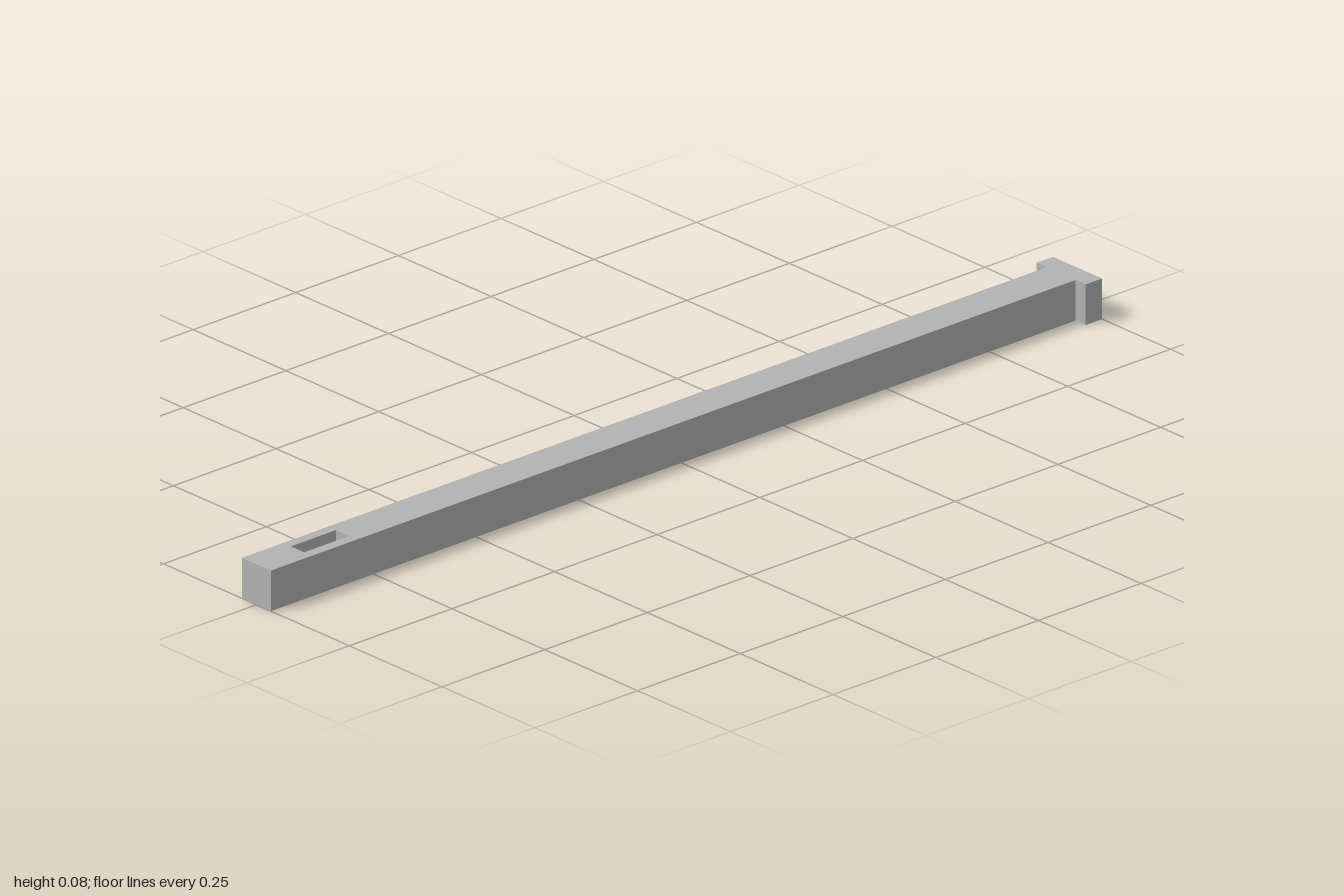
import * as THREE from 'three';

const HEIGHT = 0.08;
const BAR = 0.039;       // half width of the bar
const HEAD = 0.066;      // half width of the head
const HEAD_Z = -0.96;    // where the head meets the bar
const SLOT = { half: 0.018, back: 0.79, front: 0.9 };

export function createModel() {
  const group = new THREE.Group();
  group.name = 'slottedPin';

  const grey = new THREE.MeshStandardMaterial({ color: 0xb3b3b3 });
  grey.name = 'grey';

  // plan points are [x, z]; shape y becomes -z once laid flat
  const plan = (pts) => pts.map(([x, z]) => new THREE.Vector2(x, -z));

  // T-shaped outline: long bar with a wider head at the back
  const outline = new THREE.Shape(plan([
    [-BAR, 1], [BAR, 1], [BAR, HEAD_Z], [HEAD, HEAD_Z],
    [HEAD, -1], [-HEAD, -1], [-HEAD, HEAD_Z], [-BAR, HEAD_Z],
  ]));

  // slot through the bar near the front end
  const { half, back, front } = SLOT;
  outline.holes.push(new THREE.Path(plan([
    [-half, front], [-half, back], [half, back], [half, front],
  ])));

  const geometry = new THREE.ExtrudeGeometry(outline, { depth: HEIGHT, bevelEnabled: false });
  geometry.rotateX(-Math.PI / 2);

  const pin = new THREE.Mesh(geometry, grey);
  pin.name = 'barWithHeadAndSlot';
  group.add(pin);
  return group;
}
